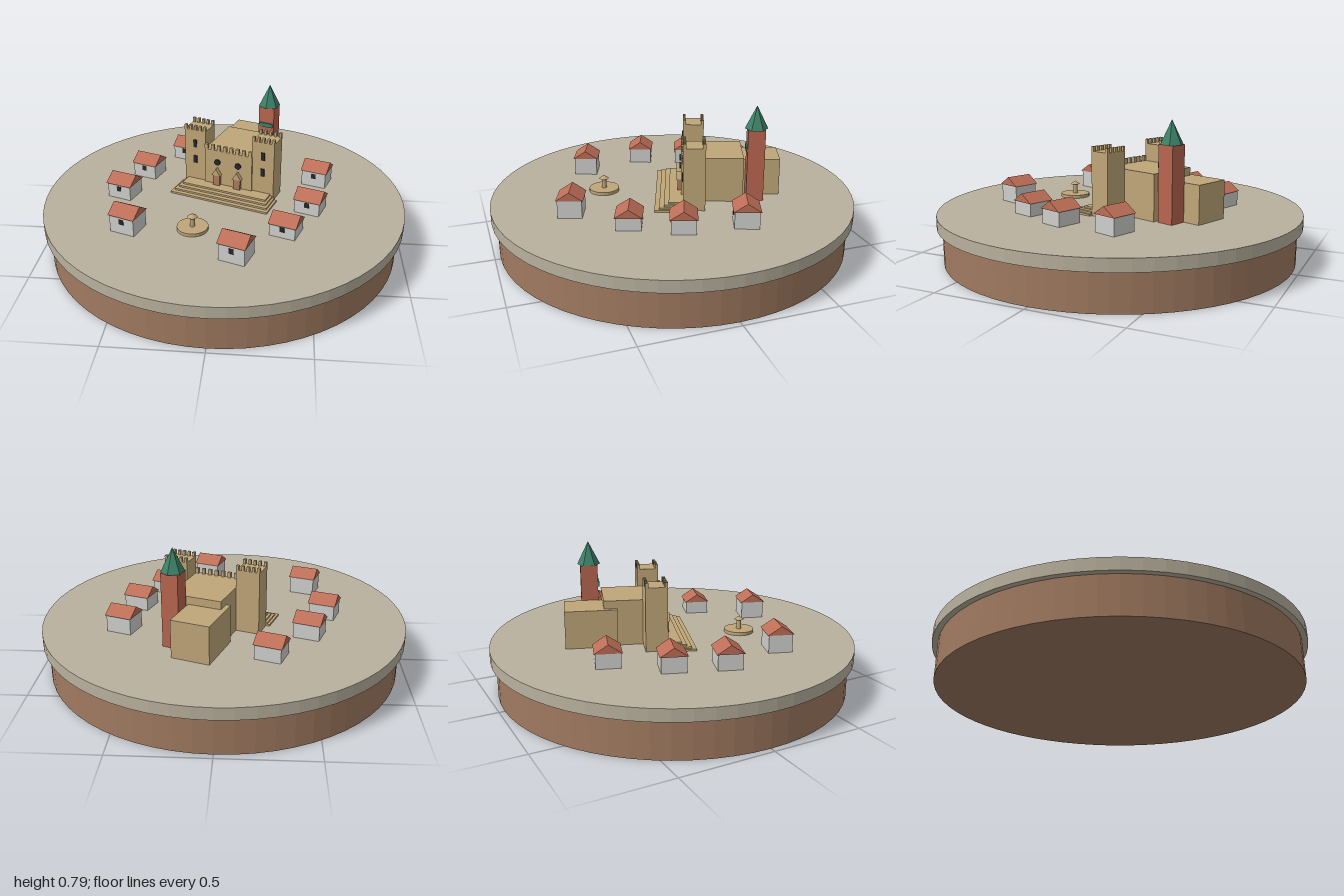
import * as THREE from 'three';

const mat = (name, color) => {
  const m = new THREE.MeshStandardMaterial({ color });
  m.name = name;
  m.flatShading = true;
  return m;
};

export function createModel() {
  const earth = mat('earth', 0xa07a60);
  const paving = mat('paving', 0xb9b19e);
  const stone = mat('sandstone', 0xbfa678);
  const plaster = mat('plaster', 0xcfcfcd);
  const tile = mat('roofTile', 0xbd6e57);
  const brick = mat('brick', 0xb8664f);
  const copper = mat('copperGreen', 0x3d8067);
  const dark = mat('darkOpening', 0x25262a);
  const wood = mat('portalWood', 0xa87d60);

  const GROUND = 0.265;
  const model = new THREE.Group();
  model.name = 'townOnDisc';

  const add = (parent, name, geometry, material, x, y, z) => {
    const mesh = new THREE.Mesh(geometry, material);
    mesh.name = name;
    mesh.position.set(x, y, z);
    parent.add(mesh);
    return mesh;
  };
  // Box given by its extents on each axis
  const block = (parent, name, material, [x0, x1], [y0, y1], [z0, z1]) =>
    add(parent, name, new THREE.BoxGeometry(x1 - x0, y1 - y0, z1 - z0), material,
      (x0 + x1) / 2, (y0 + y1) / 2, (z0 + z1) / 2);
  // Triangular prism, extruded along z and centred
  const prism = (width, height, depth) => {
    const s = new THREE.Shape();
    s.moveTo(-width / 2, 0);
    s.lineTo(width / 2, 0);
    s.lineTo(0, height);
    s.closePath();
    return new THREE.ExtrudeGeometry(s, { depth, bevelEnabled: false }).translate(0, 0, -depth / 2);
  };
  // Row of battlements along x
  const merlons = (parent, x0, x1, y, z, count, height) => {
    const step = (x1 - x0) / (count * 2 - 1);
    for (let i = 0; i < count; i++) {
      const x = x0 + 2 * i * step;
      block(parent, 'merlon', stone, [x, x + step], [y, y + height], [z - 0.008, z + 0.008]);
    }
  };

  // Round base
  add(model, 'earthBase', new THREE.CylinderGeometry(0.97, 0.97, 0.2, 64), earth, 0, 0.1, 0);
  add(model, 'pavedDisc', new THREE.CylinderGeometry(1, 1, 0.065, 64), paving, 0, 0.2325, 0);

  // Cathedral, turned on the square
  const TURN = -0.34;
  const church = new THREE.Group();
  church.name = 'cathedral';
  church.rotation.y = TURN;
  model.add(church);

  block(church, 'nave', stone, [-0.142, 0.145], [GROUND, 0.513], [-0.385, -0.05]);
  block(church, 'backChapel', stone, [-0.167, 0.04], [GROUND, 0.47], [-0.593, -0.315]);
  merlons(church, -0.142, 0.142, 0.513, -0.058, 8, 0.03);

  for (const side of [-1, 1]) {
    const c = side * 0.206;
    block(church, 'frontTower', stone, [c - 0.065, c + 0.065], [GROUND, 0.61], [-0.178, -0.06]);
    for (const z of [-0.068, -0.17]) merlons(church, c - 0.065, c + 0.065, 0.61, z, 5, 0.025);
    for (const y of [0.43, 0.528])
      block(church, 'towerWindow', dark, [c - 0.011, c + 0.011], [y - 0.023, y + 0.023], [-0.061, -0.056]);

    // Portal with gable, and the round window above
    const p = side * 0.063;
    block(church, 'portal', wood, [p - 0.02, p + 0.02], [0.3, 0.37], [-0.05, -0.03]);
    add(church, 'portalGable', prism(0.054, 0.042, 0.028), stone, p, 0.368, -0.038);
    add(church, 'roundWindow', new THREE.CylinderGeometry(0.018, 0.018, 0.009, 16).rotateX(Math.PI / 2),
      dark, p, 0.443, -0.047);
  }

  // Steps in front
  [0.293, 0.28, 0.267, 0.254].forEach((w, i) =>
    block(church, 'step', stone, [-w, w], [GROUND, GROUND + 0.01 * (i + 1)], [-0.062, 0.09 - 0.025 * i]));

  // Brick bell tower
  const bell = new THREE.Group();
  bell.name = 'bellTower';
  bell.position.set(0.233, 0, -0.395);
  bell.rotation.y = TURN;
  model.add(bell);
  const r = 0.0465;
  block(bell, 'brickShaft', brick, [-r, r], [GROUND, 0.665], [-r, r]);
  block(bell, 'copperBand', copper, [-0.04, 0.04], [0.545, 0.57], [r, r + 0.008]);
  add(bell, 'spire', new THREE.ConeGeometry(0.062, 0.125, 6), copper, 0, 0.7275, 0);

  // Houses: x, z, wall height
  const houses = [
    [-0.262, -0.503, 0.08], [-0.465, -0.246, 0.085], [-0.561, 0.016, 0.085], [-0.47, 0.38, 0.098],
    [0.112, 0.594, 0.097], [0.353, 0.348, 0.07], [0.481, 0.102, 0.078], [0.524, -0.219, 0.092],
  ];
  for (const [x, z, h] of houses) {
    const house = new THREE.Group();
    house.name = 'house';
    house.position.set(x, GROUND, z);
    house.rotation.y = TURN;
    model.add(house);
    block(house, 'houseWalls', plaster, [-0.07, 0.07], [0, h], [-0.064, 0.064]);
    add(house, 'houseRoof', prism(0.142, 0.047, 0.152).rotateY(Math.PI / 2), tile, 0, h, 0);
    block(house, 'houseWindow', dark, [-0.013, 0.013], [h * 0.7 - 0.014, h * 0.7 + 0.014], [0.062, 0.067]);
  }

  // Fountain
  const fountain = new THREE.Group();
  fountain.name = 'fountain';
  fountain.position.set(-0.134, GROUND, 0.358);
  model.add(fountain);
  add(fountain, 'fountainBasin', new THREE.CylinderGeometry(0.083, 0.083, 0.018, 24), stone, 0, 0.009, 0);
  add(fountain, 'fountainColumn', new THREE.CylinderGeometry(0.012, 0.014, 0.06, 12), stone, 0, 0.046, 0);
  add(fountain, 'fountainCap', new THREE.ConeGeometry(0.027, 0.02, 12), stone, 0, 0.082, 0);

  return model;
}
